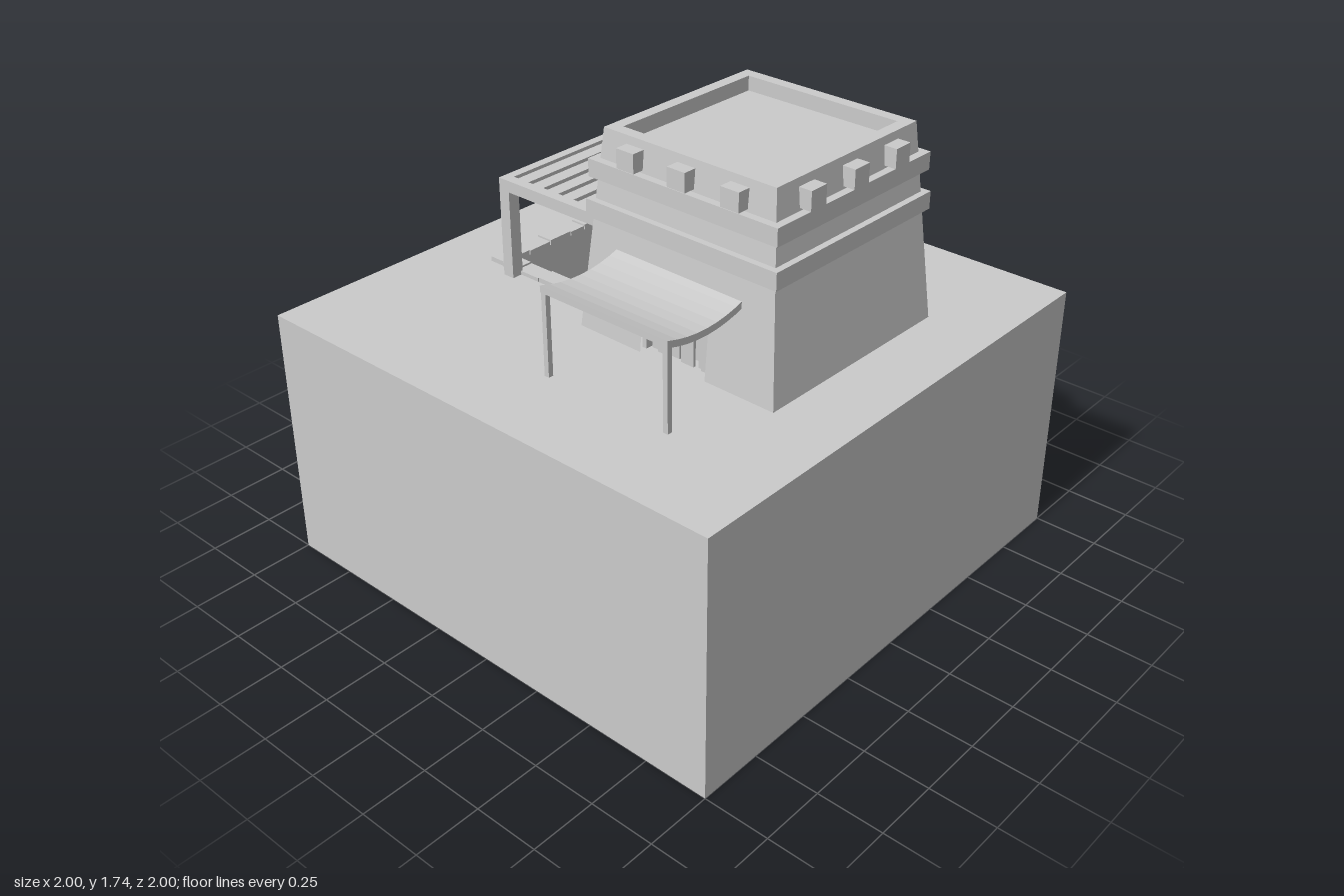
import * as THREE from 'three';

const material = new THREE.MeshStandardMaterial({ color: 0xcccccc, flatShading: true });
const doubleSided = new THREE.MeshStandardMaterial({ color: 0xcccccc, flatShading: true, side: THREE.DoubleSide });

function add(parent, name, geometry, mat = material) {
  const mesh = new THREE.Mesh(geometry, mat);
  mesh.name = name;
  parent.add(mesh);
  return mesh;
}

// Box given by its limits along each axis
function box(parent, name, x0, x1, y0, y1, z0, z1) {
  const mesh = add(parent, name, new THREE.BoxGeometry(x1 - x0, y1 - y0, z1 - z0));
  mesh.position.set((x0 + x1) / 2, (y0 + y1) / 2, (z0 + z1) / 2);
  return mesh;
}

function outline(target, points) {
  points.forEach(([x, y], i) => (i ? target.lineTo(x, y) : target.moveTo(x, y)));
  target.closePath();
  return target;
}

const rect = (x0, x1, z0, z1) => [[x0, -z1], [x1, -z1], [x1, -z0], [x0, -z0]];

// Horizontal slab with rectangular holes; each rectangle is [x0, x1, z0, z1]
function slab(parent, name, outer, holes, y0, y1) {
  const shape = outline(new THREE.Shape(), rect(...outer));
  for (const h of holes) shape.holes.push(outline(new THREE.Path(), rect(...h)));
  const geometry = new THREE.ExtrudeGeometry(shape, { depth: y1 - y0, bevelEnabled: false });
  geometry.rotateX(-Math.PI / 2);
  const mesh = add(parent, name, geometry);
  mesh.position.y = y0;
  return mesh;
}

function createGround() {
  const group = new THREE.Group();
  group.name = 'ground';
  const pit = [-0.68, -0.21, -0.32, 0.14];
  slab(group, 'groundBlock', [-1, 1, -1, 1], [pit], 0, 1);
  box(group, 'pitFloor', pit[0], pit[1], 0, 0.6, pit[2], pit[3]);

  // Paving stones around the pit
  const cutsZ = [-0.39, -0.31, -0.22, -0.145, -0.035, 0.075, 0.21];
  const cutsX = [-0.68, -0.6, -0.49, -0.39, -0.31, -0.21];
  const gap = 0.005;
  for (let i = 0; i < cutsZ.length - 1; i++) {
    const top = 1.015 + 0.004 * (i % 2);
    box(group, 'rimStone', -0.75, -0.68, 1, top, cutsZ[i], cutsZ[i + 1] - gap);
    box(group, 'rimStone', -0.215, -0.145, 1, top, cutsZ[i], cutsZ[i + 1] - gap);
  }
  for (let i = 0; i < cutsX.length - 1; i++) {
    const top = 1.019 - 0.004 * (i % 2);
    box(group, 'rimStone', cutsX[i], cutsX[i + 1] - gap, 1, top, -0.39, -0.315);
    box(group, 'rimStone', cutsX[i], cutsX[i + 1] - gap, 1, top, 0.14, 0.21);
  }
  return group;
}

function createTower() {
  const group = new THREE.Group();
  group.name = 'tower';
  const bottom = 0.432, top = 0.365, height = 0.74;
  const slant = Math.hypot(height, bottom - top);
  const door = { x0: -0.15, x1: 0.14, h: 0.31 };

  // Sloping walls, the front one with a doorway
  for (let i = 0; i < 4; i++) {
    const points = i
      ? [[-bottom, 0], [bottom, 0], [top, slant], [-top, slant]]
      : [[-bottom, 0], [door.x0, 0], [door.x0, door.h], [door.x1, door.h], [door.x1, 0],
        [bottom, 0], [top, slant], [-top, slant]];
    const geometry = new THREE.ShapeGeometry(outline(new THREE.Shape(), points));
    geometry.rotateX(-Math.atan((bottom - top) / height));
    geometry.translate(0, 1, bottom);
    geometry.rotateY(i * Math.PI / 2);
    add(group, 'wall', geometry, doubleSided);
  }

  // Door recess and hanging strips
  box(group, 'doorBack', door.x0 - 0.02, door.x1 + 0.02, 1, 1.33, 0.32, 0.345);
  box(group, 'doorJamb', door.x0 - 0.02, door.x0, 1, 1.33, 0.345, 0.4);
  box(group, 'doorJamb', door.x1, door.x1 + 0.02, 1, 1.33, 0.345, 0.4);
  box(group, 'doorLintel', door.x0, door.x1, 1.308, 1.33, 0.345, 0.4);
  [[-0.137, -0.107], [-0.103, -0.064], [-0.056, -0.012], [0.003, 0.058], [0.073, 0.088], [0.092, 0.135]]
    .forEach(([x0, x1], i) => {
      const z = 0.385 + 0.01 * (i % 2);
      box(group, 'doorStrip', x0, x1, 1.005, 1.308, z - 0.012, z);
    });

  // Projecting bands
  box(group, 'lowerBand', -0.412, 0.412, 1.42, 1.485, -0.412, 0.412);
  box(group, 'upperBand', -0.404, 0.404, 1.565, 1.63, -0.404, 0.404);

  // Parapet and sunken roof
  slab(group, 'parapet', [-top, top, -top, top], [[-0.32, 0.32, -0.32, 0.32]], 1.68, 1.74);
  box(group, 'roof', -0.35, 0.35, 1.65, 1.685, -0.35, 0.35);

  // Beam ends, three on each side
  for (let side = 0; side < 4; side++) {
    const beams = new THREE.Group();
    beams.name = 'beamEnds';
    beams.rotation.y = side * Math.PI / 2;
    for (const x of [-0.222, 0, 0.222]) box(beams, 'beamEnd', x - 0.038, x + 0.038, 1.64, 1.71, 0.355, 0.418);
    group.add(beams);
  }
  group.position.set(0.292, 0, -0.086);
  group.rotation.y = -0.012;
  return group;
}

function createPergola() {
  const group = new THREE.Group();
  group.name = 'pergola';
  const slots = [];
  for (let i = 0; i < 7; i++) {
    const x = -0.585 + i * 0.075;
    slots.push([x - 0.011, x + 0.011, -0.4, 0.21]);
  }
  slab(group, 'slattedRoof', [-0.632, -0.08, -0.445, 0.25], slots, 1.345, 1.39);
  for (const z of [-0.445, 0.202]) box(group, 'pergolaPost', -0.632, -0.584, 1, 1.35, z, z + 0.048);
  return group;
}

function createCanopy() {
  const group = new THREE.Group();
  group.name = 'canopy';
  // Sagging cloth: a curved profile in the z-y plane swept across x
  const upper = [], lower = [], steps = 8;
  for (let i = 0; i <= steps; i++) {
    const t = i / steps;
    const z = 0.3 + 0.372 * t;
    const y = 1.337 - 0.032 * (1 - (2 * t - 1) ** 2);
    upper.push([-z, y]);
    lower.unshift([-z, y - 0.025]);
  }
  const shape = outline(new THREE.Shape(), [...upper, ...lower]);
  const geometry = new THREE.ExtrudeGeometry(shape, { depth: 0.55, bevelEnabled: false });
  geometry.rotateY(Math.PI / 2);
  geometry.translate(0.005, 0, 0);
  add(group, 'cloth', geometry);
  for (const x of [0.007, 0.533]) box(group, 'canopyPost', x, x + 0.02, 1, 1.32, 0.65, 0.67);
  return group;
}

export function createModel() {
  const model = new THREE.Group();
  model.name = 'desertTower';
  model.add(createGround(), createTower(), createPergola(), createCanopy());
  return model;
}
